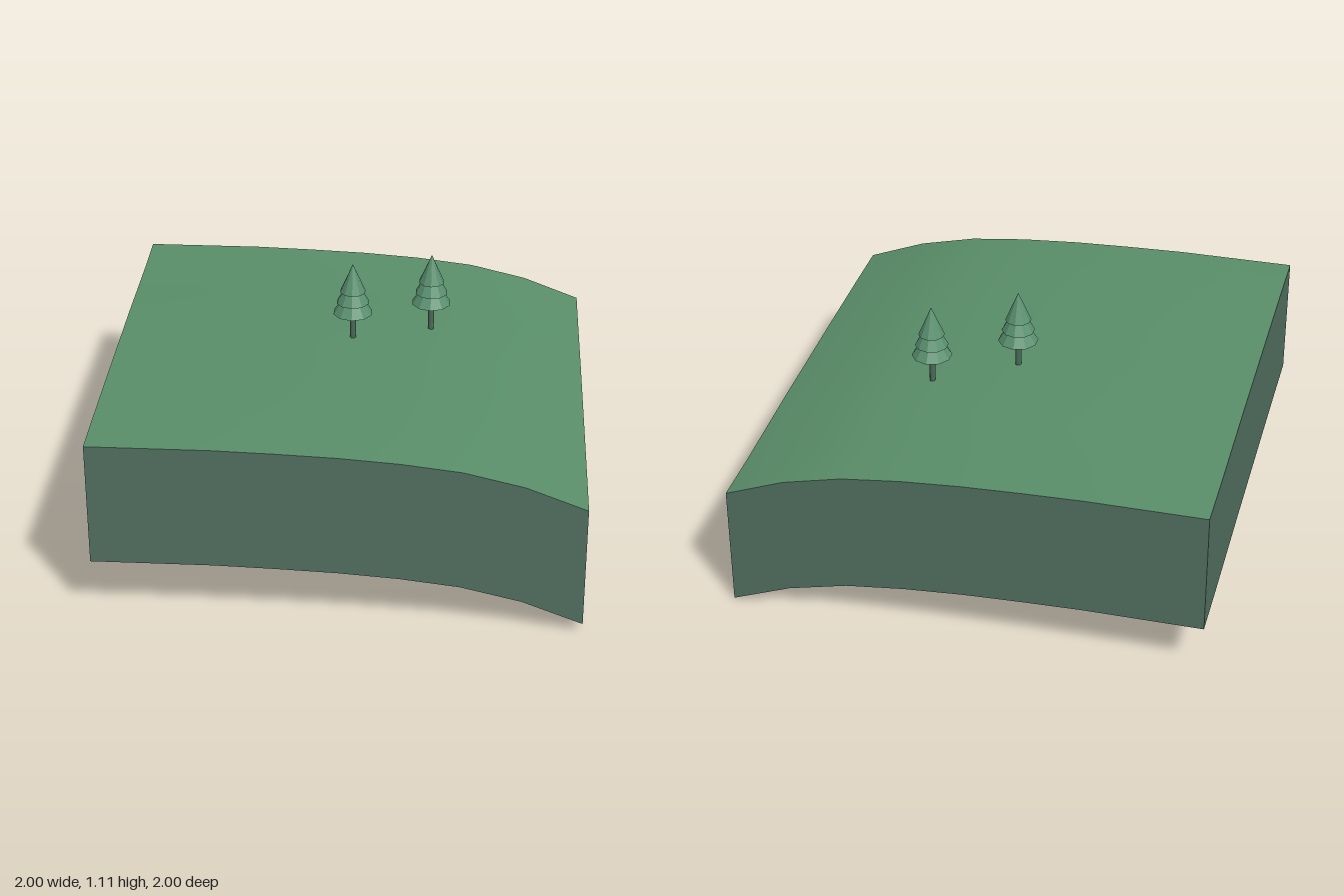
import * as THREE from 'three';

const material = (name, color, extra = {}) => {
  const m = new THREE.MeshStandardMaterial({ color, ...extra });
  m.name = name;
  return m;
};

const SEGMENTS = 8;
const DEPTH = 0.535;
// height along x, and the slight fall towards the back, at even steps from -1 to 1
const alongX = [0.8, 0.8, 0.8, 0.793, 0.783, 0.765, 0.735, 0.675, 0.578];
const alongZ = [-0.043, -0.04, -0.031, -0.021, -0.016, -0.01, -0.005, -0.001, 0];

function sample(table, t) {
  const s = (t + 1) * SEGMENTS / 2;
  const i = Math.min(SEGMENTS - 1, Math.max(0, Math.floor(s + 1e-6)));
  return THREE.MathUtils.lerp(table[i], table[i + 1], s - i);
}
const groundHeight = (x, z) => sample(alongX, x) + sample(alongZ, z);

// gently curving grass surface
function makeGround(mat) {
  const geo = new THREE.PlaneGeometry(2, 2, SEGMENTS, SEGMENTS).rotateX(-Math.PI / 2);
  const p = geo.attributes.position;
  for (let i = 0; i < p.count; i++) p.setY(i, groundHeight(p.getX(i), p.getZ(i)));
  geo.computeVertexNormals();
  const mesh = new THREE.Mesh(geo, mat);
  mesh.name = 'grassSurface';
  return mesh;
}

// vertical wall whose upper and lower edges both follow the ground
function makeWall(name, from, to, mat) {
  const geo = new THREE.PlaneGeometry(1, 1, SEGMENTS, 1);
  const p = geo.attributes.position;
  for (let i = 0; i < p.count; i++) {
    const t = p.getX(i) + 0.5;
    const x = THREE.MathUtils.lerp(from[0], to[0], t);
    const z = THREE.MathUtils.lerp(from[1], to[1], t);
    p.setXYZ(i, x, groundHeight(x, z) - (p.getY(i) < 0 ? DEPTH : 0), z);
  }
  geo.computeVertexNormals();
  const mesh = new THREE.Mesh(geo, mat);
  mesh.name = name;
  return mesh;
}

// conifer with a thin trunk and three stacked cones
function makeTree(name, x, z, baseY, leafMat, trunkMat) {
  const tree = new THREE.Group();
  tree.name = name;
  const trunk = new THREE.Mesh(new THREE.CylinderGeometry(0.013, 0.013, 0.15, 8), trunkMat);
  trunk.name = 'trunk';
  trunk.position.y = 0.075;
  tree.add(trunk);
  [[0.135, 0.086], [0.185, 0.071], [0.235, 0.056]].forEach(([y, radius], i) => {
    const tier = new THREE.Mesh(new THREE.ConeGeometry(radius, 0.128, 10), leafMat);
    tier.name = `foliageTier${i + 1}`;
    tier.position.y = y + 0.064;
    tree.add(tier);
  });
  tree.position.set(x, baseY, z);
  return tree;
}

export function createModel() {
  const grass = material('grass green', 0x5a8f6a, { side: THREE.DoubleSide });
  const earth = material('grey green earth', 0x537161, { side: THREE.DoubleSide });
  const leaf = material('foliage green', 0x5a9070, { flatShading: true });
  const bark = material('dark green bark', 0x4a6b58);

  const model = new THREE.Group();
  model.name = 'hillsideTile';
  model.add(makeGround(grass));

  // four skirt walls, open underneath
  model.add(
    makeWall('frontWall', [-1, 1], [1, 1], earth),
    makeWall('leftWall', [1, 1], [1, -1], earth),
    makeWall('backWall', [1, -1], [-1, -1], earth),
    makeWall('rightWall', [-1, -1], [-1, 1], earth),
  );

  model.add(
    makeTree('middleTree', 0, -0.083, 0.75, leaf, bark),
    makeTree('leftTree', 0.333, -0.25, 0.725, leaf, bark),
  );
  return model;
}
